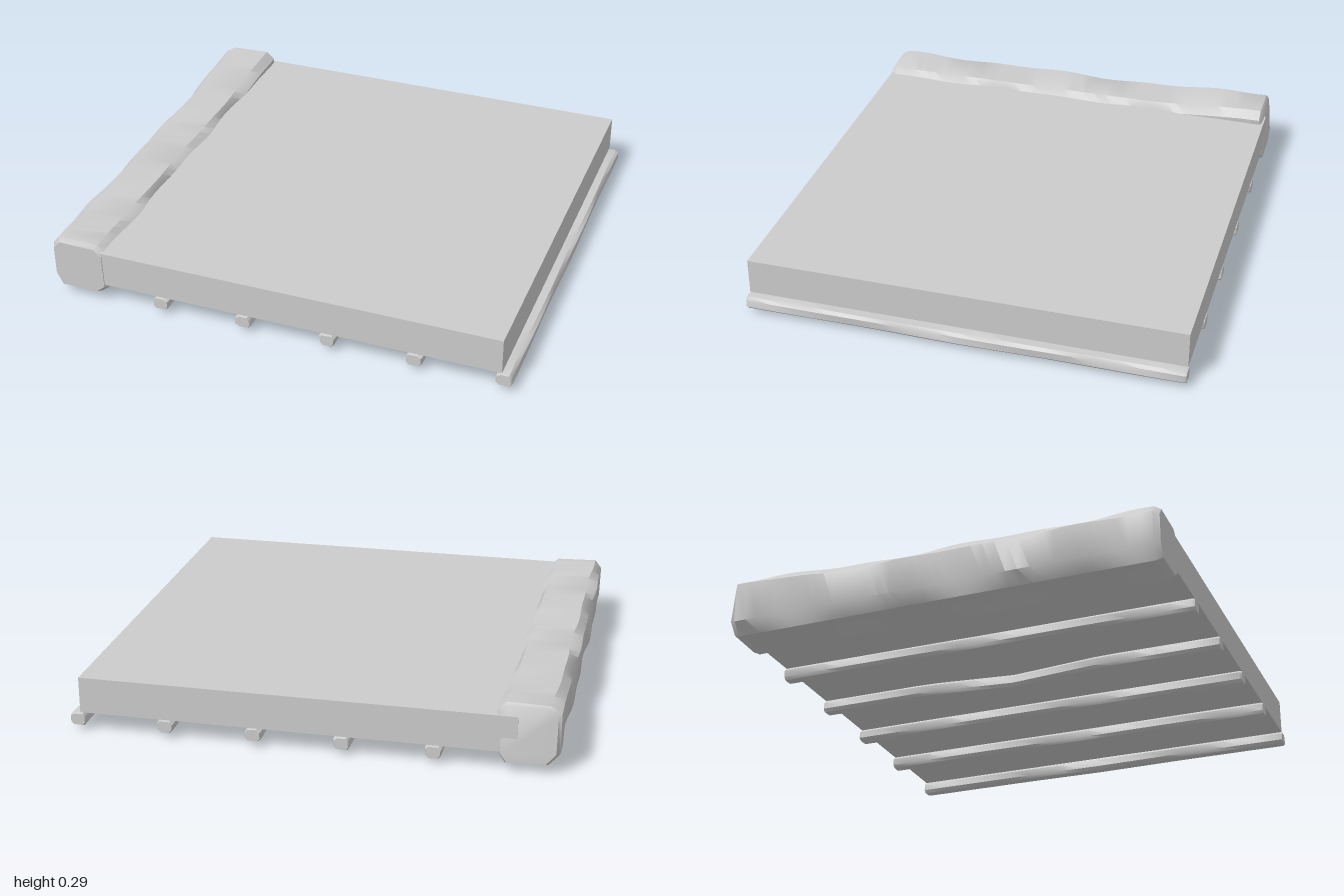
import * as THREE from 'three';
import { toCreasedNormals } from 'three/addons/utils/BufferGeometryUtils.js';

const material = new THREE.MeshStandardMaterial({ color: 0xcccccc });

// Chamfered rectangular section, counter-clockwise seen from +z
function section(w, h, c) {
  const a = w / 2, b = h / 2;
  return [[a, -b + c], [a, b - c], [a - c, b], [-a + c, b], [-a, b - c], [-a, -b + c], [-a + c, -b], [a - c, -b]];
}

// Loft a section along z with end caps; shape(x, y, z, corner) returns the worn position
function loft(profile, stations, shape, crease) {
  const n = profile.length, pos = [], idx = [];
  for (const [z, s] of stations) {
    profile.forEach(([x, y], k) => pos.push(...shape(x * s, y * s, z, k)));
  }
  const last = stations.length - 1;
  for (let i = 0; i < last; i++) {
    for (let k = 0; k < n; k++) {
      const a = i * n + k, b = i * n + (k + 1) % n;
      idx.push(a, b, b + n, a, b + n, a + n);
    }
  }
  for (let k = 1; k < n - 1; k++) {
    idx.push(0, k + 1, k, last * n, last * n + k, last * n + k + 1);
  }
  const geometry = new THREE.BufferGeometry();
  geometry.setAttribute('position', new THREE.Float32BufferAttribute(pos, 3));
  geometry.setIndex(idx);
  return toCreasedNormals(geometry, crease);
}

// Evenly spaced stations with slightly narrowed ends
function stations(z0, z1, count, bevel, endScale) {
  const list = [[z0, endScale]];
  for (let i = 0; i <= count; i++) {
    list.push([THREE.MathUtils.lerp(z0 + bevel, z1 - bevel, i / count), 1]);
  }
  list.push([z1, endScale]);
  return list;
}

export function createModel() {
  const group = new THREE.Group();
  const add = (name, geometry) => {
    const mesh = new THREE.Mesh(geometry, material);
    mesh.name = name;
    group.add(mesh);
    return mesh;
  };

  // Plain slab
  add('slab', new THREE.BoxGeometry(1.78, 0.152, 1.83)).position.set(0.06, 0.161, 0);

  // Rough-hewn edge beam, swelling upwards at its back end
  const beamShape = (x, y, z, k) => {
    const wear = 0.004 * Math.sin(z * 9 + k * 2.1) + 0.003 * Math.sin(z * 17 + k * 4.3);
    const lift = y > 0 ? 0.026 * THREE.MathUtils.smoothstep(-z, 0.35, 0.86) : 0;
    const lean = z < -0.9 && y > 0 ? 0.015 : 0;
    const lowerOuter = k === 5 ? 0.02 : 0;
    return [-0.871 + x + Math.sign(x) * wear, 0.149 + y + Math.sign(y) * wear * 0.6 + lift + lowerOuter, z + lean];
  };
  add('edgeBeam', loft(section(0.242, 0.228, 0.034), stations(-0.92, 0.918, 36, 0.025, 0.9), beamShape, 0.7));

  // Hand-cut battens under the slab: x centre and sag at mid length
  const battens = [[-0.503, 0.002], [-0.135, 0.023], [0.228, 0], [0.592, 0.002], [0.96, 0.003]];
  battens.forEach(([cx, sag], i) => {
    const shape = (x, y, z, k) => {
      const bend = Math.max(0, 1 - Math.abs(z) / 0.4);
      const wear = 0.0025 * Math.sin(z * 8 + k * 1.7 + i * 2);
      return [cx + x + wear, 0.054 + y - sag * bend + wear * 0.4, z];
    };
    add('batten' + (i + 1), loft(section(0.065, 0.054, 0.012), stations(-0.917, 0.919, 20, 0.008, 0.88), shape, 0.6));
  });

  return group;
}
